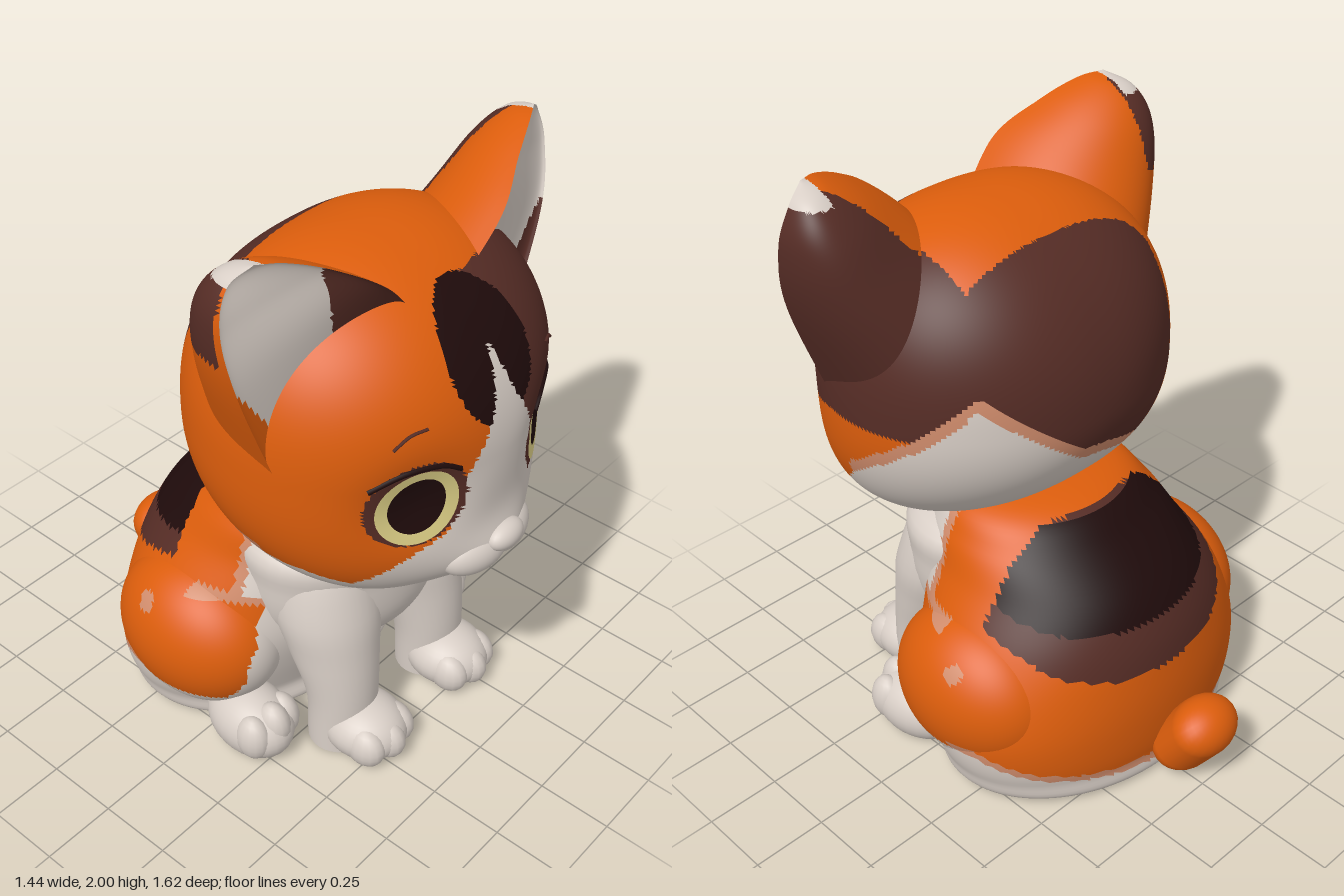
import * as THREE from 'three';
import { mergeVertices } from 'three/addons/utils/BufferGeometryUtils.js';

const mat = (name, color) => Object.assign(new THREE.MeshStandardMaterial({ color }), { name });
const COLOURS = [
  mat('cream white', 0xd8cec6), mat('orange', 0xdc5d0c), mat('brown', 0x552c25),
  mat('dark brown', 0x1f0b0b), mat('pale yellow', 0xe0d288), mat('salmon', 0xd08c6c),
];
const [WHITE, ORANGE, BROWN, DARK, YELLOW, SALMON] = [0, 1, 2, 3, 4, 5];
const { cos, sin, abs, PI, max, hypot } = Math;

// Linear lookup in a short list of [key, value] pairs
function lookup(pairs, k) {
  for (let i = 1; i < pairs.length; i++) {
    const [a, va] = pairs[i - 1], [b, vb] = pairs[i];
    if (k <= b) return va + (vb - va) * max(0, (k - a) / (b - a));
  }
  return pairs[pairs.length - 1][1];
}

// Drop seams and give smooth normals
function smooth(geo) {
  geo.deleteAttribute('uv');
  geo.deleteAttribute('normal');
  const g = mergeVertices(geo, 1e-4);
  g.computeVertexNormals();
  return g;
}

// Surface from f(u, v) -> [x, y, z]
function grid(nu, nv, f, flip = false) {
  const pos = [], idx = [];
  for (let j = 0; j <= nv; j++) for (let i = 0; i <= nu; i++) pos.push(...f(i / nu, j / nv));
  for (let j = 0; j < nv; j++) for (let i = 0; i < nu; i++) {
    const a = j * (nu + 1) + i, b = a + 1, d = a + nu + 1, c = d + 1;
    idx.push(...(flip ? [a, d, b, b, d, c] : [a, b, d, b, c, d]));
  }
  const g = new THREE.BufferGeometry();
  g.setAttribute('position', new THREE.Float32BufferAttribute(pos, 3));
  g.setIndex(idx);
  return smooth(g);
}

// Ellipsoid resting no lower than the ground
function blob(c, r, turn = 0, seg = 28) {
  const g = new THREE.SphereGeometry(1, seg, Math.round(seg * 0.7));
  g.scale(...r).rotateY(turn).translate(...c);
  const p = g.attributes.position;
  for (let i = 0; i < p.count; i++) p.setY(i, max(0, p.getY(i)));
  return smooth(g);
}

const curve = (pts) => new THREE.CatmullRomCurve3(pts.map((p) => new THREE.Vector3(...p)), false, 'catmullrom');

// Upright body through oval rings [x, y, z, half width, half depth]
function loft(rings, nu, nv) {
  const size = curve(rings.map((r) => [r[3], r[4], 0])), place = curve(rings.map((r) => r.slice(0, 3)));
  return grid(nu, nv, (u, v) => {
    const s = size.getPoint(v), c = place.getPoint(v), a = u * 2 * PI;
    return [c.x + max(0, s.x) * cos(a), max(0, c.y), c.z - max(0, s.y) * sin(a)];
  });
}

// Split a geometry into colour groups by the centre of each face
function painted(name, geo, colourAt) {
  const src = geo.toNonIndexed(), P = src.attributes.position.array, N = src.attributes.normal.array;
  const faces = COLOURS.map(() => []);
  for (let i = 0; i < P.length; i += 9) {
    const c = [0, 1, 2].map((k) => (P[i + k] + P[i + 3 + k] + P[i + 6 + k]) / 3);
    faces[colourAt(...c)].push(i);
  }
  const out = new THREE.BufferGeometry(), pos = [], nor = [];
  faces.forEach((list, m) => {
    if (list.length) out.addGroup(pos.length / 3, list.length * 3, m);
    for (const i of list) for (let k = 0; k < 9; k++) { pos.push(P[i + k]); nor.push(N[i + k]); }
  });
  out.setAttribute('position', new THREE.Float32BufferAttribute(pos, 3));
  out.setAttribute('normal', new THREE.Float32BufferAttribute(nor, 3));
  return Object.assign(new THREE.Mesh(out, COLOURS), { name });
}
const plain = (name, geo, c) => Object.assign(new THREE.Mesh(geo, COLOURS[c]), { name });

// Head form: rounded, chin and snout pushed forward, shallow eye sockets
const HX = 0.6, HY = 0.55, HZ = 0.53, CY = 1.27, CZ = 0.22;
const flat = (a, b) => (abs(a) ** 2.4 + abs(b) ** 2.4) ** (2 / 2.4);
const bump = (x, y) => Math.exp(-x * x - y * y);
const headShift = (x, y, front) => {
  const t = max(0, (CY - y) / HY);
  const face = 0.075 * bump(x / 0.18, (y - 0.9) / 0.11) - 0.055 * bump((abs(x) - 0.3) / 0.14, (y - 1.18) / 0.15);
  return 0.18 * t * t + (front ? face : 0);
};
const headZ = (x, y) =>
  CZ + HZ * Math.sqrt(max(0, 1 - flat(x / HX, (y - CY) / HY))) + headShift(x, y, true);

function headGeometry() {
  const g = new THREE.SphereGeometry(1, 220, 140), p = g.attributes.position;
  for (let i = 0; i < p.count; i++) {
    const a = p.getX(i), b = p.getY(i), c = p.getZ(i), n = Math.sqrt(flat(a, b) + c * c);
    const x = HX * a / n, y = CY + HY * b / n;
    p.setXYZ(i, x, y, CZ + HZ * c / n + headShift(x, y, c > 0));
  }
  return smooth(g);
}

// Height of the white bib around the head, by angle from the front
const BIB = [[-180, 1.1], [-135, 0.95], [-90, 0.95], [-70, 0.94], [-55, 0.89], [-38, 0.99], [-22, 1.06], [-19, 1.2],
  [-14, 1.3], [-5, 1.45], [0, 1.61], [5, 1.45], [14, 1.3], [19, 1.2], [22, 1.06], [38, 1.02], [41, 0.94], [50, 0.9],
  [60, 0.89], [75, 0.94], [88, 1.05], [118, 1.25], [132, 1.37], [168, 1.12], [180, 1.1]];
const CHEEK = [[35, 1.0], [40, 1.05], [56, 1.15], [65, 1.215], [80, 1.25], [125, 1.25]];

function headColour(x, y, z) {
  const angle = Math.atan2(x, z - CZ) * 180 / PI, bib = lookup(BIB, angle);
  if (z > 0.3 && hypot((abs(x) - 0.29) / 0.145, (y - 1.19) / 0.15) < 1) return BROWN;
  if (y < bib) return WHITE;
  if (abs(angle) > 85 && y < bib + 0.045) return SALMON;
  if (z > 0.3 && hypot(x / 0.17, (y - 1.56) / 0.19) < 1) return DARK;
  if (angle > 22 && angle < 125 && y < lookup(CHEEK, angle)) return ORANGE;
  if (z < -0.03 - 2 * max(0, -0.28 - x) ** 2 && x > -0.4 + max(0, 1.25 - y)) return BROWN;
  if (x < 0) return ORANGE;
  return y > 1.74 - 0.12 * (z < 0.2) && x < 0.34 ? ORANGE : BROWN;
}

// Coat of the torso and haunches
function bodyColour(x, y, z) {
  if (z < -0.2 && (x / 0.42) ** 4 + ((y - 0.745) / 0.135) ** 4 < 1) return DARK;
  if (z < -0.2 && abs(x / 0.47) ** 2.5 + abs((y - 0.67) / 0.22) ** 2.5 < 1) return BROWN;
  const low = z > -0.3 ? 0.21 : 0.21 + (z + 0.3) * 0.5, front = y > 0.58 ? 0.08 : 0.16;
  if (z > front || y < low) return WHITE;
  if (z > 0.02 && y < 0.58 && abs(x) < 0.44 + (0.45 - y) * 0.4) return WHITE;
  if ((z < -0.2 && y < low + 0.03) || (y > 0.58 && z > front - 0.035)) return SALMON;
  if (z > -0.08 && y > 0.56 && y < 0.59) return SALMON;
  return hypot(y - 0.5, z + 0.2) < 0.03 ? SALMON : ORANGE;
}

const TORSO = [[0, 0, -0.2, 0.001, 0.001], [0, 0, -0.2, 0.49, 0.36], [0, 0.1, -0.21, 0.58, 0.39],
  [0, 0.25, -0.19, 0.615, 0.42], [0, 0.4, -0.16, 0.585, 0.44], [0, 0.55, -0.13, 0.51, 0.44], [0, 0.68, -0.08, 0.43, 0.42],
  [0, 0.8, -0.01, 0.375, 0.36], [0, 0.9, 0.04, 0.28, 0.26], [0, 0.94, 0.08, 0.001, 0.001]];
const CHEST = [[0, 0.32, 0.13, 0.001, 0.001], [0, 0.36, 0.13, 0.26, 0.22], [0, 0.46, 0.135, 0.37, 0.285],
  [0, 0.63, 0.135, 0.4, 0.295], [0, 0.78, 0.13, 0.365, 0.285], [0, 0.9, 0.13, 0.001, 0.001]];
const LEG = (s) => [[s * 0.235, 0, 0.34, 0.12, 0.11], [s * 0.23, 0.2, 0.335, 0.127, 0.118],
  [s * 0.222, 0.38, 0.285, 0.155, 0.155], [s * 0.205, 0.55, 0.235, 0.185, 0.18], [s * 0.18, 0.75, 0.2, 0.15, 0.14],
  [s * 0.17, 0.82, 0.2, 0.001, 0.001]];

// Ear rims from base to tip
const OUTER = curve([[0.55, 1.25, 0.36], [0.69, 1.62, 0.35], [0.72, 1.83, 0.32], [0.68, 1.95, 0.31], [0.61, 2, 0.34]]);
const INNER = curve([[0.1, 1.66, 0.47], [0.26, 1.83, 0.49], [0.41, 1.93, 0.43], [0.53, 1.985, 0.38], [0.61, 2, 0.34]]);
const earPoint = (s, v, a, depth) => {
  const o = OUTER.getPoint(v), i = INNER.getPoint(v);
  const p = i.clone().add(o).multiplyScalar(0.5).addScaledVector(o.sub(i), 0.5 * cos(a));
  return [s * p.x, p.y, p.z - depth * abs(sin(a)) ** 0.8];
};
const earColour = (x, y, z) => {
  if (y > 1.95 && abs(x) > 0.59) return WHITE;
  if (x < 0) return x < -0.58 && y > 1.72 && z < 0.3 ? BROWN : ORANGE;
  return x < 0.6 && y > 1.65 && z > 0.17 + (x - 0.4) * 0.55 ? ORANGE : BROWN;
};
const earInsideColour = (x, y) => {
  if (abs(x) > 0.585 + (y - 1.5) * 0.75) return x > 0 ? BROWN : ORANGE;
  if (abs(x) > 0.365 + (y - 1.68) * 0.25) return WHITE;
  return x > 0 ? ORANGE : BROWN;
};

// Thin disc and stroke that follow the face
const disc = (cx, cy, rx, ry, lift) => grid(40, 6, (u, v) => {
  const a = u * 2 * PI, x = cx + rx * v * cos(a), y = cy + ry * v * sin(a);
  return [x, y, headZ(x, y) + lift];
}, true);
const stroke = (pts, r) =>
  new THREE.TubeGeometry(curve(pts.map(([x, y]) => [x, y, headZ(x, y) + 0.004])), 16, r, 6);

export function createModel() {
  const model = new THREE.Group();
  model.name = 'kitten';
  const head = new THREE.Group(), body = new THREE.Group();
  head.name = 'head';
  body.name = 'body';
  model.add(head, body);

  head.add(painted('skull', headGeometry(), headColour));
  head.add(plain('nose', blob([0, 0.96, 0.763], [0.075, 0.045, 0.045]), WHITE));
  head.add(plain('chin', blob([0, 0.825, 0.67], [0.085, 0.055, 0.055]), WHITE));

  body.add(painted('torso', loft(TORSO, 120, 72), bodyColour));
  body.add(plain('chest', loft(CHEST, 48, 30), WHITE));

  // Stubby upright tail
  const tail = new THREE.CapsuleGeometry(0.1, 0.12, 10, 24);
  tail.scale(1.28, 1, 1).rotateX(-0.6).translate(-0.03, 0.166, -0.678);
  body.add(plain('tail', tail, ORANGE));

  for (const s of [1, -1]) {
    // Ears
    head.add(painted('earBack', grid(48, 36, (u, v) =>
      earPoint(s, v, u * PI, 0.44 * (1 - v) ** 1.05), s < 0), earColour));
    head.add(painted('earInside', grid(48, 36, (u, v) =>
      earPoint(s, v, (1 - u) * PI, 0.06 * (1 - v)), s < 0), earInsideColour));

    // Eyes, lashes and brows
    head.add(plain('iris', disc(s * 0.29, 1.18, 0.116, 0.133, 0.006), YELLOW));
    head.add(plain('pupil', disc(s * 0.293, 1.187, 0.08, 0.1, 0.012), DARK));
    head.add(plain('upperLash', stroke([[s * 0.18, 1.29], [s * 0.24, 1.322], [s * 0.34, 1.322], [s * 0.43, 1.28]], 0.008), DARK));
    head.add(plain('brow', stroke([[s * 0.28, 1.46], [s * 0.33, 1.45], [s * 0.375, 1.415]], 0.005), BROWN));
    head.add(plain('muzzle', blob([s * 0.085, 0.915, 0.71], [0.115, 0.07, 0.065], s * 0.3), WHITE));

    // Front leg and paw
    body.add(plain('frontLeg', loft(LEG(s), 32, 24), WHITE));
    body.add(plain('frontPaw', blob([s * 0.225, 0.08, 0.43], [0.135, 0.105, 0.15]), WHITE));

    // Haunch and hind paw
    body.add(painted('haunch', blob([s * 0.415, 0.335, -0.13], [0.235, 0.27, 0.31], 0, 84), bodyColour));
    body.add(plain('hindPaw', blob([s * 0.46, 0.09, 0.13], [0.125, 0.12, 0.175], s * 0.15), WHITE));

    // Toes
    for (const t of [-1, 0, 1]) {
      const back = 0.025 * abs(t);
      body.add(plain('frontToe', blob([s * 0.225 + t * 0.075, 0.075, 0.52 - back], [0.055, 0.075, 0.075], 0, 16), WHITE));
      body.add(plain('hindToe', blob([s * 0.465 + t * 0.07, 0.13 - back, 0.235 - back], [0.053, 0.085, 0.065], 0, 16), WHITE));
    }
  }
  return model;
}
